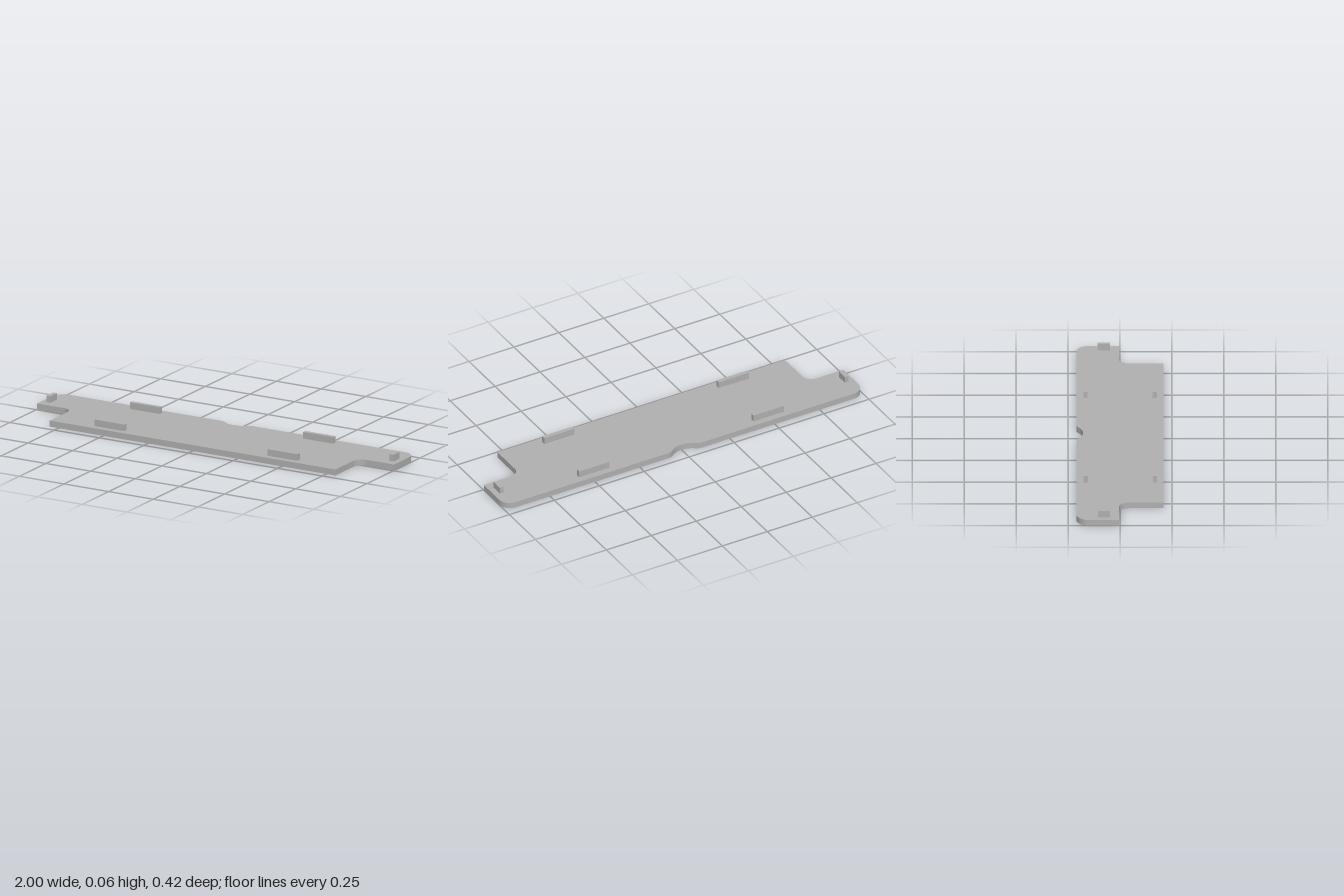
import * as THREE from 'three';
import { toCreasedNormals } from 'three/addons/utils/BufferGeometryUtils.js';

export function createModel() {
  const group = new THREE.Group();
  const grey = new THREE.MeshStandardMaterial({ color: 0xb0b0b0 });
  grey.name = 'grey';
  const T = 0.03, TOP = 0.063;

  // Plate outline: shape y points to the back (-z)
  const s = new THREE.Shape();
  s.moveTo(-0.8, -0.21);
  s.lineTo(0.8, -0.21);
  s.lineTo(0.8, -0.045);
  s.absarc(0.85, -0.045, 0.05, Math.PI, Math.PI / 2, true); // inner fillet
  s.lineTo(1, 0.005);
  s.lineTo(1, 0.15);
  s.absarc(0.94, 0.15, 0.06, 0, Math.PI / 2, false); // back corner
  // Finger notch in the back edge
  s.lineTo(0.09, 0.21);
  s.quadraticCurveTo(0.075, 0.21, 0.06, 0.197);
  s.quadraticCurveTo(0, 0.157, -0.06, 0.197);
  s.quadraticCurveTo(-0.075, 0.21, -0.09, 0.21);
  s.lineTo(-0.94, 0.21);
  s.absarc(-0.94, 0.15, 0.06, Math.PI / 2, Math.PI, false);
  s.lineTo(-1, 0.005);
  s.lineTo(-0.85, 0.005);
  s.absarc(-0.85, -0.045, 0.05, Math.PI / 2, 0, true);
  s.closePath();

  const plateGeo = new THREE.ExtrudeGeometry(s, { depth: T, bevelEnabled: false, curveSegments: 16 });
  plateGeo.rotateX(-Math.PI / 2);
  const plate = new THREE.Mesh(toCreasedNormals(plateGeo, 0.5), grey);
  plate.name = 'plate';
  group.add(plate);

  // Upright locating tabs
  const tab = (name, x, z, w, d) => {
    const m = new THREE.Mesh(new THREE.BoxGeometry(w, TOP - T, d), grey);
    m.position.set(x, (TOP + T) / 2, z);
    m.name = name;
    group.add(m);
  };
  for (const [side, label] of [[1, 'left'], [-1, 'right']]) {
    tab(label + 'FrontTab', side * 0.485, 0.168, 0.168, 0.021);
    tab(label + 'BackTab', side * 0.485, -0.166, 0.168, 0.021);
    tab(label + 'EndTab', side * 0.96, -0.078, 0.021, 0.059);
  }
  return group;
}
